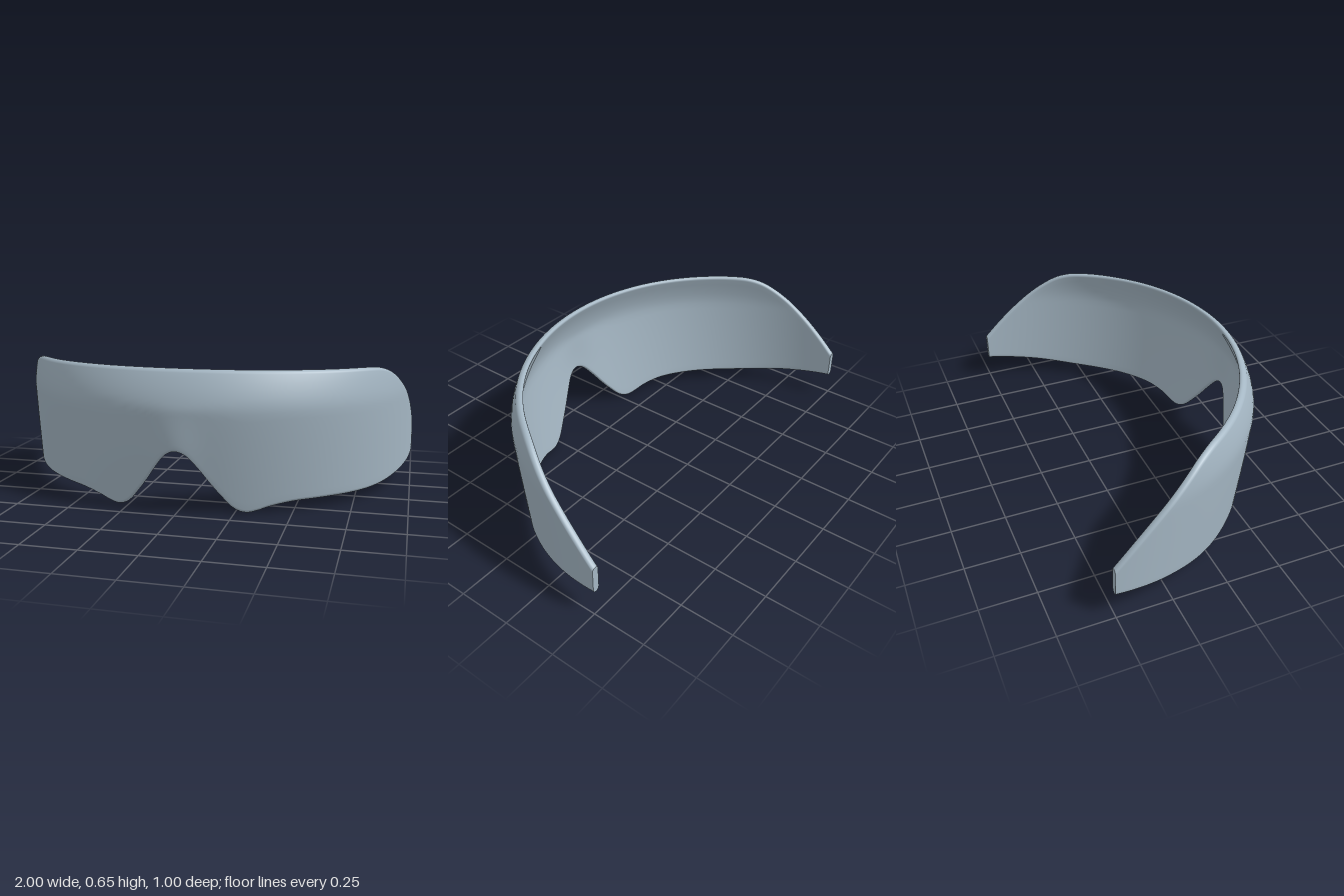
import * as THREE from 'three';

const COLUMNS = 220, ROWS = 18, EDGE = 8;
const THICK = 0.033, ROUND = 0.016;

// Edge heights as [angle from the front, y]
const TOP = [[0, 0.645], [0.44, 0.64], [0.8, 0.63], [1.0, 0.622], [1.08, 0.612], [1.16, 0.585],
  [1.266, 0.52], [1.369, 0.44], [1.471, 0.35], [1.571, 0.252]];
const BOTTOM = [[0, 0.285], [0.051, 0.265], [0.105, 0.205], [0.16, 0.135], [0.213, 0.075], [0.268, 0.022],
  [0.325, 0], [0.382, 0.008], [0.44, 0.025], [0.55, 0.043], [0.68, 0.047], [1.047, 0.05],
  [1.318, 0.083], [1.571, 0.12]];

// Smooth curve through the points
function smooth(points, x) {
  const slope = (i) => {
    if (i === 0) return 0;
    const a = points[i - 1], b = points[Math.min(i + 1, points.length - 1)];
    return (b[1] - a[1]) / (b[0] - a[0]);
  };
  let i = 0;
  while (i < points.length - 2 && x > points[i + 1][0]) i++;
  const [x0, y0] = points[i], [x1, y1] = points[i + 1];
  const w = x1 - x0, t = Math.min((x - x0) / w, 1), t2 = t * t, t3 = t2 * t;
  return (2 * t3 - 3 * t2 + 1) * y0 + (t3 - 2 * t2 + t) * w * slope(i)
    + (3 * t2 - 2 * t3) * y1 + (t3 - t2) * w * slope(i + 1);
}

// Outer radius: bulges at brow height, with a soft ridge over the nose
function radius(angle, y) {
  const p = (y - 0.47) / 0.175, q = (0.47 - y) / 0.47;
  const inset = p > 0 ? 0.06 * p ** 1.6 : 0.068 * q ** 1.15;
  const ridge = 0.016 * Math.exp(-((angle / 0.1) ** 2)) * (1 - THREE.MathUtils.smoothstep(y, 0.27, 0.52));
  return 1 - inset * Math.cos(angle) + ridge;
}

// Closed cross-section: up the outside, over the top edge, down the inside, round the bottom edge
function section(angle) {
  const top = smooth(TOP, Math.abs(angle)) - ROUND;
  const bottom = smooth(BOTTOM, Math.abs(angle)) + ROUND;
  const loop = [];
  const add = (y, depth) => {
    const r = radius(angle, y) - depth;
    loop.push([r * Math.sin(angle), y, r * Math.cos(angle) - 0.5]);
  };
  const edge = (y, side) => {
    for (let k = 1; k < EDGE; k++) {
      const a = (k / EDGE) * Math.PI;
      add(y + side * ROUND * Math.sin(a), THICK / 2 * (1 - side * Math.cos(a)));
    }
  };
  for (let k = 0; k <= ROWS; k++) add(THREE.MathUtils.lerp(bottom, top, k / ROWS), 0);
  edge(top, 1);
  for (let k = 0; k <= ROWS; k++) add(THREE.MathUtils.lerp(top, bottom, k / ROWS), THICK);
  edge(bottom, -1);
  return loop;
}

function build(positions, index) {
  const g = new THREE.BufferGeometry();
  g.setAttribute('position', new THREE.Float32BufferAttribute(positions.flat(), 3));
  g.setIndex(index);
  g.computeVertexNormals();
  return g;
}

function shellGeometry() {
  const positions = [], index = [];
  let n = 0;
  for (let i = 0; i <= COLUMNS; i++) {
    const loop = section((i / COLUMNS - 0.5) * Math.PI);
    n = loop.length;
    positions.push(...loop);
  }
  for (let i = 0; i < COLUMNS; i++) {
    for (let j = 0; j < n; j++) {
      const k = (j + 1) % n;
      const a = i * n + j, b = a + n, c = (i + 1) * n + k, d = i * n + k;
      index.push(a, b, c, a, c, d);
    }
  }
  return build(positions, index);
}

// Flat face closing one end of the band
function endGeometry(side) {
  const loop = section(side * Math.PI / 2), n = loop.length;
  const centre = [0, 1, 2].map((c) => loop.reduce((sum, p) => sum + p[c], 0) / n);
  const index = [];
  for (let j = 0; j < n; j++) {
    const k = (j + 1) % n;
    index.push(n, side > 0 ? k : j, side > 0 ? j : k);
  }
  return build([...loop, centre], index);
}

export function createModel() {
  const group = new THREE.Group();
  group.name = 'visor';
  const material = new THREE.MeshStandardMaterial({ color: 0xa5b7c4 });
  material.name = 'blue grey';
  const add = (name, geometry) => {
    const mesh = new THREE.Mesh(geometry, material);
    mesh.name = name;
    group.add(mesh);
  };
  add('visorShell', shellGeometry());
  add('leftEnd', endGeometry(1));
  add('rightEnd', endGeometry(-1));
  return group;
}
